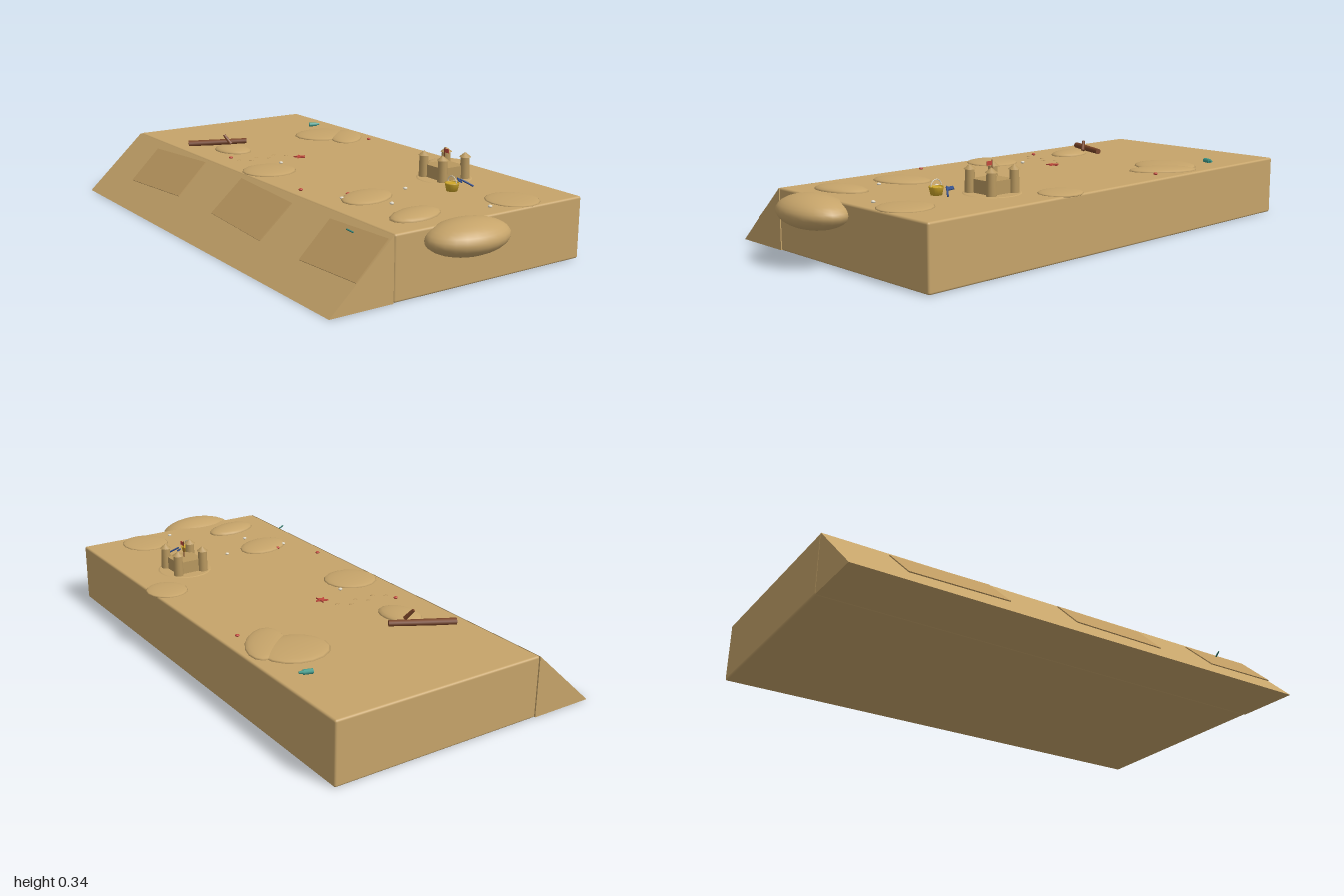
import * as THREE from 'three';
import { RoundedBoxGeometry } from 'three/addons/geometries/RoundedBoxGeometry.js';

const TOP = 0.228;
const mat = (color, flatShading = false, side = THREE.FrontSide) =>
  new THREE.MeshStandardMaterial({ color, flatShading, side });
const sand = mat(0xc6a46a), wetSand = mat(0xbd9a61), castleSand = mat(0xb8985f);
const wood = mat(0x7a4528), yellow = mat(0xd0a82a), blue = mat(0x34508c);
const teal = mat(0x3f9c8c), red = mat(0xc0483c), white = mat(0xe0d8c4), green = mat(0x2f7a6c);

export function createModel() {
  const root = new THREE.Group();
  const add = (name, geo, material, x = 0, y = 0, z = 0, parent = root) => {
    const m = new THREE.Mesh(geo, material);
    m.name = name;
    m.position.set(x, y, z);
    parent.add(m);
    return m;
  };
  // Cylinder running between two points
  const rod = (name, a, b, r0, r1, material, parent = root) => {
    const p = new THREE.Vector3(...a), q = new THREE.Vector3(...b);
    const d = q.clone().sub(p);
    const m = add(name, new THREE.CylinderGeometry(r1, r0, d.length(), 8), material, 0, 0, 0, parent);
    m.position.copy(p).add(q).multiplyScalar(0.5);
    m.quaternion.setFromUnitVectors(new THREE.Vector3(0, 1, 0), d.normalize());
    return m;
  };

  // Beach slab and the slope down to the shore
  add('beachSlab', new RoundedBoxGeometry(0.823, TOP, 1.855, 3, 0.008), sand, 0.1135, TOP / 2, -0.0725);
  const wedge = new THREE.Shape([[-0.545, 0], [-0.299, 0], [-0.299, 0.226]].map(p => new THREE.Vector2(...p)));
  add('shoreSlope', new THREE.ExtrudeGeometry(wedge, { depth: 1.855, bevelEnabled: false }), sand, 0, 0, -1);

  // Thin sand sheets lying on the slope
  const slope = Math.atan2(0.226, 0.246);
  [[-0.56, 0.4, 0.06], [0.11, 0.37, -0.04], [0.695, 0.31, 0.04]].forEach(([z, len, turn]) => {
    const m = add('slopeSheet', new THREE.BoxGeometry(0.175, 0.005, len), wetSand, -0.383, 0.151, z);
    m.rotation.set(0, turn, slope, 'ZYX');
  });

  // Large mound at the front edge
  add('frontMound', new THREE.SphereGeometry(1, 24, 16), sand, -0.032, 0.187, 0.893).scale.set(0.162, 0.06, 0.105);

  // Low dunes: x, z, radius x, radius z, turn, height
  [
    [-0.13, -0.465, 0.065, 0.09, 0.15, 0.018], [-0.19, -0.075, 0.105, 0.1, 0, 0.014],
    [-0.11, 0.45, 0.115, 0.08, 0.4, 0.016], [-0.11, 0.72, 0.112, 0.066, 0.25, 0.02],
    [0.29, 0.755, 0.095, 0.1, 0, 0.01], [0.462, 0.21, 0.079, 0.083, 0, 0.01],
    [0.35, -0.51, 0.125, 0.115, 0, 0.015], [0.41, -0.42, 0.07, 0.135, -0.6, 0.015],
  ].forEach(([x, z, rx, rz, turn, h]) => {
    const m = add('dune', new THREE.SphereGeometry(1, 16, 10), sand, x, TOP, z);
    m.scale.set(rx, h, rz);
    m.rotation.y = turn;
  });

  // Sand castle
  const castle = new THREE.Group();
  castle.name = 'sandCastle';
  castle.position.set(0.298, TOP, 0.38);
  root.add(castle);
  add('castleKeep', new THREE.BoxGeometry(0.108, 0.05, 0.108), castleSand, 0, 0.025, 0, castle);
  add('castleMound', new THREE.CylinderGeometry(0.1, 0.11, 0.004, 20), sand, 0, 0, 0, castle);
  for (const sx of [-1, 1]) for (const sz of [-1, 1]) {
    add('tower', new THREE.CylinderGeometry(0.017, 0.019, 0.084, 12), castleSand, sx * 0.054, 0.042, sz * 0.054, castle);
    add('towerRoof', new THREE.ConeGeometry(0.022, 0.018, 12), castleSand, sx * 0.054, 0.092, sz * 0.054, castle);
  }
  rod('flagPole', [0, 0.05, 0], [0, 0.116, 0], 0.0018, 0.0018, wood, castle);
  add('flag', new THREE.BoxGeometry(0.002, 0.015, 0.024), red, 0, 0.104, 0.012, castle);

  // Bucket with an arched handle
  const bucket = new THREE.Group();
  bucket.name = 'bucket';
  bucket.position.set(0.196, TOP, 0.545);
  root.add(bucket);
  const wall = [[0, 0.002], [0.018, 0.002], [0.023, 0.03], [0.026, 0.03], [0.026, 0.027], [0.02, 0], [0, 0]];
  add('bucketBody', new THREE.LatheGeometry(wall.reverse().map(p => new THREE.Vector2(...p)), 16), yellow, 0, 0, 0, bucket)
    .material = mat(0xd0a82a, false, THREE.DoubleSide);
  add('bucketSand', new THREE.CylinderGeometry(0.022, 0.022, 0.002, 16), yellow, 0, 0.026, 0, bucket);
  add('bucketHandle', new THREE.TorusGeometry(0.023, 0.0018, 6, 16, Math.PI), white, 0, 0.031, 0, bucket).rotation.y = Math.PI / 2;

  // Toy spade
  rod('spadeHandle', [0.242, 0.262, 0.537], [0.28, 0.237, 0.565], 0.0035, 0.0035, blue);
  const blade = add('spadeBlade', new THREE.BoxGeometry(0.016, 0.004, 0.026), blue, 0.247, 0.255, 0.527);
  blade.rotation.set(0.2, -0.5, -0.4);

  // Driftwood with a stub branch
  rod('driftwood', [-0.245, 0.237, -0.64], [-0.025, 0.243, -0.535], 0.013, 0.011, wood);
  rod('driftwoodBranch', [-0.105, 0.24, -0.525], [-0.123, 0.276, -0.55], 0.008, 0.006, wood);

  // Bottle
  rod('bottle', [0.403, 0.237, -0.7], [0.435, 0.237, -0.69], 0.009, 0.009, teal);
  rod('bottleNeck', [0.435, 0.237, -0.69], [0.448, 0.237, -0.686], 0.006, 0.004, teal);

  // Seaweed sprig on the slope
  rod('seaweed', [-0.358, 0.212, 0.68], [-0.333, 0.197, 0.685], 0.003, 0.003, green);

  // Starfish
  const star = new THREE.Shape();
  for (let i = 0; i < 10; i++) {
    const a = i * Math.PI / 5, r = i % 2 ? 0.01 : 0.026;
    star[i ? 'lineTo' : 'moveTo'](Math.cos(a) * r, Math.sin(a) * r);
  }
  add('starfish', new THREE.ExtrudeGeometry(star, { depth: 0.005, bevelEnabled: false }), red, 0.03, TOP, -0.2).rotation.x = -Math.PI / 2;

  // Scattered shells and pebbles
  const scatter = (name, material, spots) => spots.forEach(([x, z]) =>
    add(name, new THREE.SphereGeometry(0.008, 10, 8), material, x, TOP + 0.004, z).scale.y = 0.6);
  scatter('shell', red, [[-0.212, -0.335], [-0.252, 0.245], [0.458, -0.315], [-0.145, 0.385]]);
  scatter('pebble', white, [[-0.09, -0.15], [-0.195, 0.42], [0.07, 0.437], [-0.092, 0.57], [0.16, 0.785]]);

  // Trail of footprints
  for (let i = 0; i < 6; i++) {
    const m = add('footprint', new THREE.SphereGeometry(1, 10, 6), wetSand, -0.2 + i * 0.04, TOP, -0.29 + (i % 2) * 0.03);
    m.scale.set(0.01, 0.002, 0.006);
  }
  return root;
}
